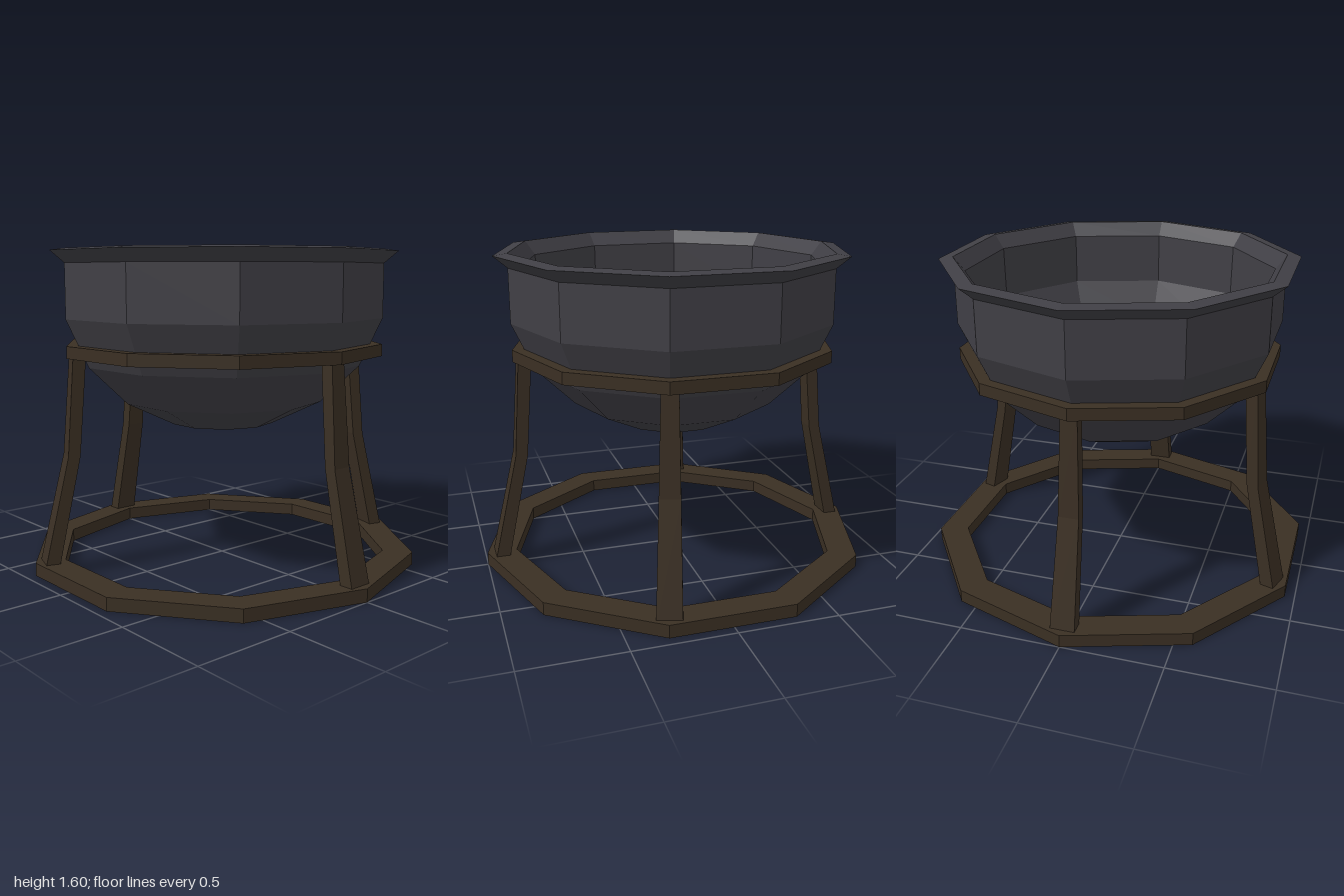
import * as THREE from 'three';

const SIDES = 10;
const iron = new THREE.MeshStandardMaterial({ color: 0x403f45 });
iron.name = 'dark iron';
const wood = new THREE.MeshStandardMaterial({ color: 0x3a2f23 });
wood.name = 'dark bronze';

// Faceted mesh: split the corners so every face gets its own normal
function faceted(name, geometry, material) {
  const flat = geometry.toNonIndexed();
  flat.computeVertexNormals();
  const mesh = new THREE.Mesh(flat, material);
  mesh.name = name;
  return mesh;
}

// Ten-sided turned shape with a corner on the x axis
function turned(name, profile, material) {
  const points = profile.map(([r, y]) => new THREE.Vector2(r, y));
  return faceted(name, new THREE.LatheGeometry(points, SIDES, Math.PI / 2), material);
}

function ring(name, inner, outer, y0, y1) {
  return turned(name, [[inner, y0], [outer, y0], [outer, y1], [inner, y1], [inner, y0]], wood);
}

// Tapered, bent leg: [height, inner radius, outer radius, half width]
const LEG = [[0.04, 0.895, 0.965, 0.061], [0.595, 0.775, 0.835, 0.05], [1.1, 0.733, 0.797, 0.04]];

function leg(name, degrees) {
  const geometry = new THREE.BoxGeometry(1, 2, 1, 1, 2, 1);
  const p = geometry.attributes.position;
  for (let i = 0; i < p.count; i++) {
    const [y, inner, outer, half] = LEG[Math.round(p.getY(i)) + 1];
    p.setXYZ(i, p.getX(i) > 0 ? outer : inner, y, p.getZ(i) * 2 * half);
  }
  const mesh = faceted(name, geometry, wood);
  mesh.rotation.y = -THREE.MathUtils.degToRad(degrees);
  return mesh;
}

export function createModel() {
  const model = new THREE.Group();
  model.name = 'cauldronOnStand';

  // Bowl: outside from the bottom up, over the flared rim, down the inside
  model.add(turned('bowl', [
    [0, 0.665], [0.265, 0.71], [0.515, 0.83], [0.71, 1.02], [0.82, 1.26], [0.82, 1.53],
    [0.89, 1.59], [0.82, 1.6], [0.765, 1.53],
    [0.76, 1.27], [0.65, 1.06], [0.465, 0.88], [0.245, 0.77], [0, 0.73],
  ], iron));

  // Stand
  model.add(ring('baseRing', 0.85, 1, 0, 0.065));
  model.add(ring('supportRing', 0.72, 0.82, 1.07, 1.13));
  model.add(leg('leftLeg', 0), leg('frontLeg', 108), leg('rightLeg', 180), leg('backLeg', 288));

  return model;
}
